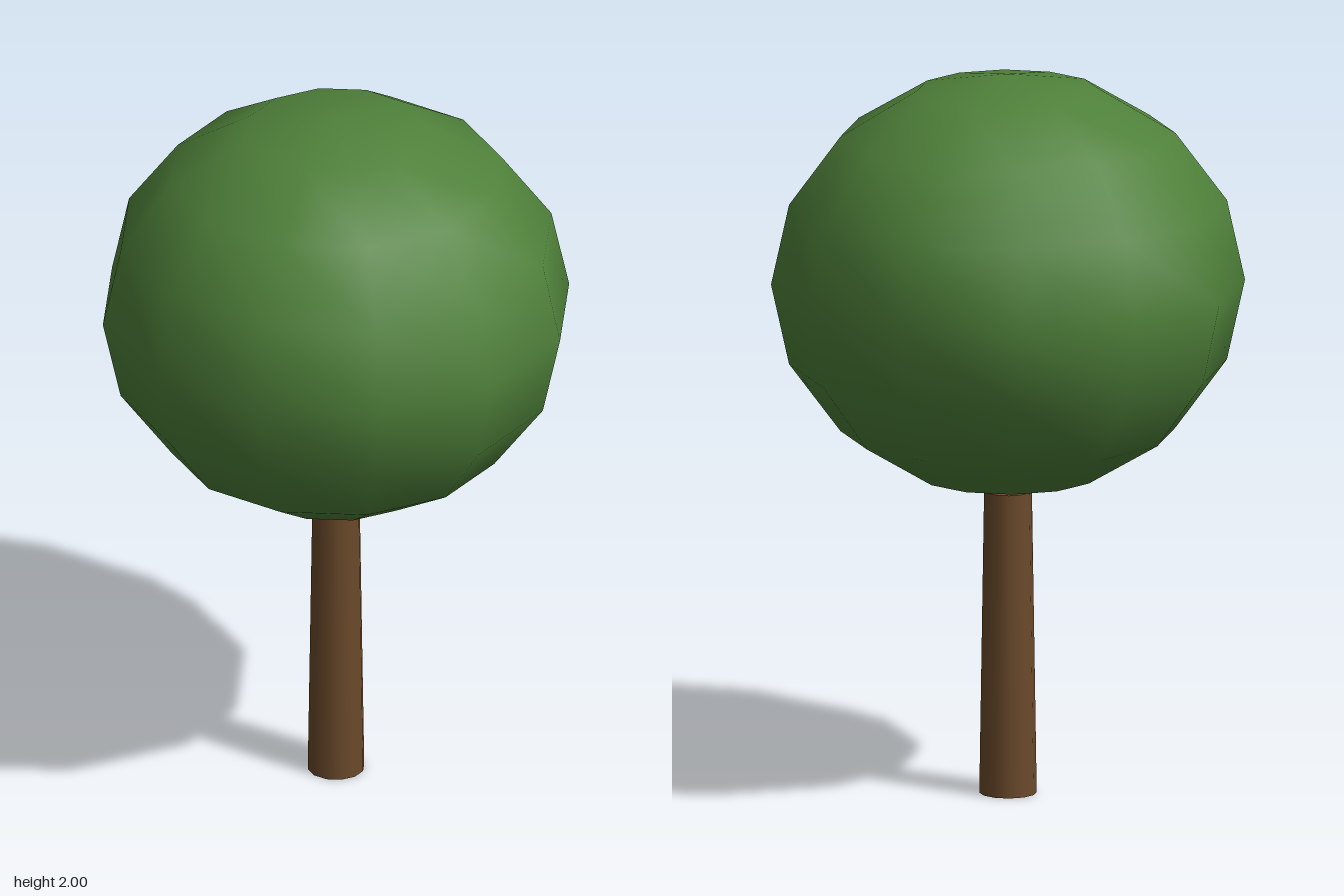
import * as THREE from 'three';

export function createModel() {
  const tree = new THREE.Group();
  tree.name = 'tree';

  const bark = new THREE.MeshStandardMaterial({ color: 0x6b4a2b });
  bark.name = 'bark brown';
  const leaves = new THREE.MeshStandardMaterial({ color: 0x4f813a });
  leaves.name = 'leaf green';

  // Tapered trunk, ending at the underside of the crown
  const trunkHeight = 0.84;
  const trunk = new THREE.Mesh(new THREE.CylinderGeometry(0.065, 0.078, trunkHeight, 12), bark);
  trunk.name = 'trunk';
  trunk.position.y = trunkHeight / 2;

  // Slightly flattened round crown
  const radius = 0.644, flatten = 0.9;
  const crownGeometry = new THREE.SphereGeometry(radius, 12, 8).scale(1, flatten, 1);
  const crown = new THREE.Mesh(crownGeometry, leaves);
  crown.name = 'crown';
  crown.position.y = 2 - radius * flatten;

  tree.add(trunk, crown);
  return tree;
}
